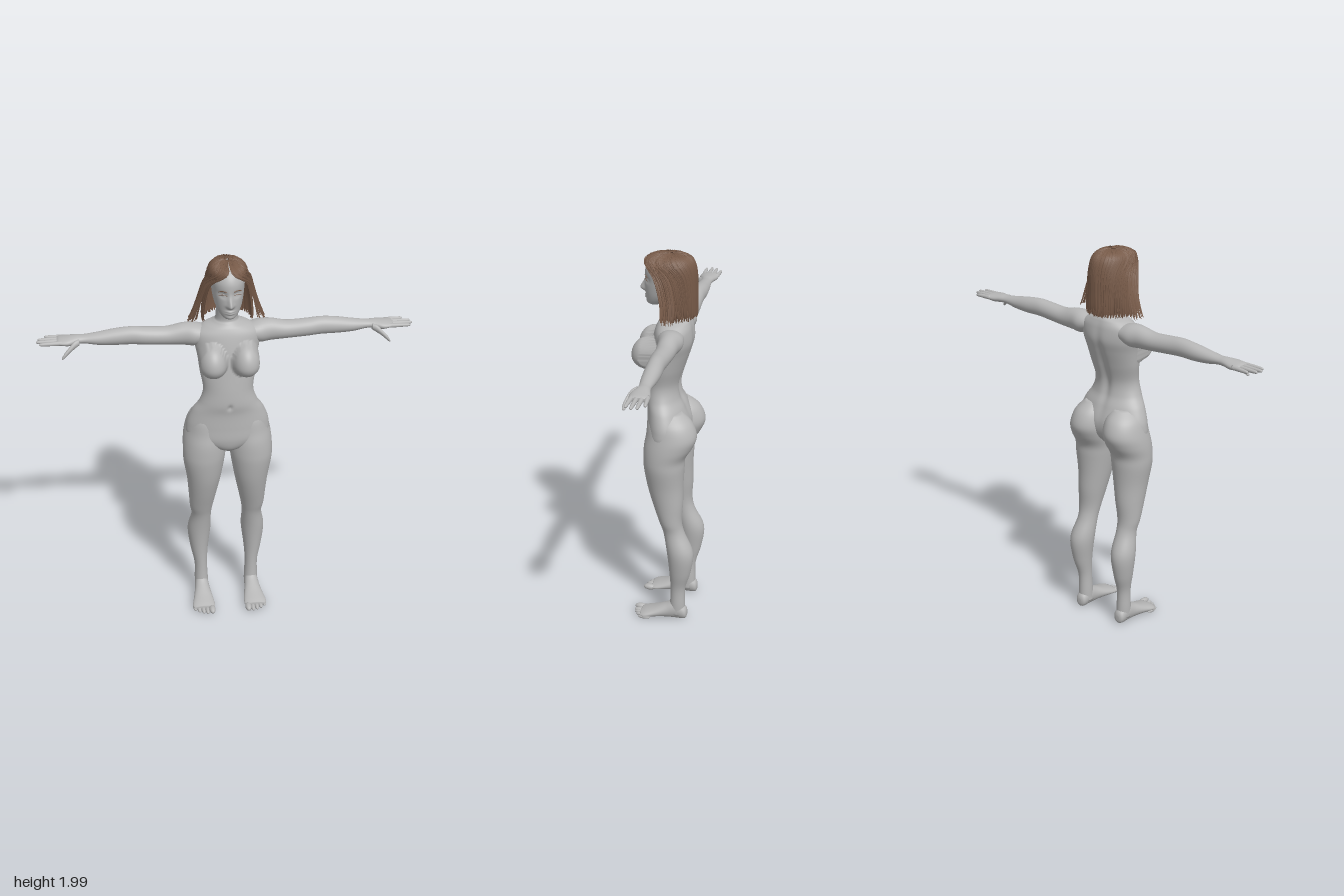
import * as THREE from 'three';
import { mergeGeometries } from 'three/addons/utils/BufferGeometryUtils.js';

const skin = new THREE.MeshStandardMaterial({ color: 0xb6b6b6 });
skin.name = 'skin grey';
const brown = new THREE.MeshStandardMaterial({ color: 0x785b49, side: THREE.DoubleSide });
brown.name = 'hair brown';

let seed = 7;
const rand = () => (seed = (seed * 16807) % 2147483647) / 2147483647;
const bell = (d, w) => Math.exp(-((d / w) ** 2));

// Smoothly interpolated row at a fractional index
function rowAt(rows, t) {
  const n = rows.length - 1, i = Math.min(Math.floor(t), n - 1), f = t - i;
  const r = (k) => rows[Math.max(0, Math.min(n, k))];
  return rows[0].map((_, c) => {
    const a = r(i - 1)[c], b = r(i)[c], d = r(i + 1)[c], e = r(i + 2)[c];
    return b + 0.5 * f * (d - a + f * (2 * a - 5 * b + 4 * d - e + f * (3 * (b - d) + e - a)));
  });
}

function build(pos, idx) {
  const g = new THREE.BufferGeometry();
  g.setAttribute('position', new THREE.Float32BufferAttribute(pos, 3));
  g.setIndex(idx);
  g.computeVertexNormals();
  return g;
}

// Closed oval loft; each row is [place on axis, min u, max u, min v, max v]
function loft(rows, axis, { side = 1, segs = 32, steps = 5, deform } = {}) {
  const pos = [], idx = [], rings = (rows.length - 1) * steps;
  const put = (m, u, v) => {
    const p = axis === 'y' ? new THREE.Vector3(u, m, v)
      : axis === 'x' ? new THREE.Vector3(m, u, v) : new THREE.Vector3(u, v, m);
    if (deform) deform(p);
    pos.push(p.x * side, p.y, p.z);
  };
  for (let j = 0; j <= rings; j++) {
    const [m, u0, u1, v0, v1] = rowAt(rows, j / steps);
    for (let i = 0; i < segs; i++) {
      const a = (i / segs) * Math.PI * 2;
      put(m, (u0 + u1) / 2 + ((u1 - u0) / 2) * Math.sin(a), (v0 + v1) / 2 + ((v1 - v0) / 2) * Math.cos(a));
    }
  }
  for (const r of [rows[0], rows[rows.length - 1]]) put(r[0], (r[1] + r[2]) / 2, (r[3] + r[4]) / 2);
  const end = (rings + 1) * segs, last = rings * segs;
  for (let i = 0; i < segs; i++) {
    const k = (i + 1) % segs;
    for (let j = 0; j < rings; j++) {
      const a = j * segs + i, b = j * segs + k;
      idx.push(a, b, a + segs, b, b + segs, a + segs);
    }
    idx.push(end, k, i, end + 1, last + i, last + k);
  }
  // Turn the faces outward if the enclosed volume is negative
  const A = new THREE.Vector3(), B = new THREE.Vector3(), C = new THREE.Vector3();
  let vol = 0;
  for (let i = 0; i < idx.length; i += 3) {
    A.fromArray(pos, idx[i] * 3); B.fromArray(pos, idx[i + 1] * 3); C.fromArray(pos, idx[i + 2] * 3);
    vol += A.dot(B.cross(C));
  }
  if (vol < 0) idx.reverse();
  return build(pos, idx);
}

const sym = (rows) => rows.map(([y, x, b, f]) => [y, -x, x, b, f]);

const torsoRows = sym([[1.8, .055, -.085, .04], [1.7, .055, -.095, .02], [1.675, .07, -.105, .03],
  [1.655, .12, -.115, .045], [1.62, .165, -.125, .06], [1.56, .162, -.13, .075], [1.5, .15, -.115, .085],
  [1.42, .14, -.09, .095], [1.33, .126, -.065, .105], [1.26, .145, -.07, .108], [1.2, .182, -.095, .1],
  [1.12, .21, -.12, .1], [1.05, .2, -.11, .1], [1, .1, -.07, .085], [.97, .03, -.03, .05]]);
const legRows = [[1.2, .04, .15, -.09, .06], [1.15, .015, .195, -.145, .08], [1.08, .004, .218, -.17, .088],
  [1.02, .004, .228, -.15, .098], [.96, .01, .23, -.115, .1], [.9, .018, .228, -.11, .097],
  [.8, .035, .212, -.105, .08], [.7, .055, .203, -.105, .052], [.6, .075, .196, -.1, .018],
  [.53, .083, .187, -.115, -.005], [.42, .083, .205, -.163, -.025], [.3, .097, .192, -.15, -.038],
  [.2, .104, .172, -.122, -.043], [.1, .1, .172, -.12, -.04], [.04, .1, .17, -.122, -.03]];
const footRows = [[-.132, .125, .148, .03, .06], [-.12, .106, .166, .012, .085], [-.07, .1, .172, .01, .12],
  [-.02, .095, .178, .012, .095], [.04, .085, .19, .012, .068], [.09, .08, .2, .01, .05], [.115, .085, .19, .015, .04]];
const armRows = [[.1, 1.57, 1.645, -.1, .02], [.16, 1.545, 1.66, -.11, .02], [.22, 1.548, 1.66, -.1, .005],
  [.3, 1.553, 1.645, -.095, 0], [.4, 1.56, 1.65, -.09, 0], [.47, 1.565, 1.655, -.088, -.005],
  [.55, 1.565, 1.648, -.09, -.008], [.63, 1.57, 1.635, -.085, -.012], [.7, 1.582, 1.625, -.08, -.02],
  [.74, 1.582, 1.625, -.085, -.015], [.78, 1.578, 1.622, -.095, 0], [.82, 1.585, 1.617, -.1, -.003],
  [.835, 1.59, 1.61, -.095, -.01]];
const thumbRows = [[.725, 1.585, 1.615, -.035, -.005], [.75, 1.572, 1.61, -.025, .01], [.775, 1.558, 1.588, -.003, .022],
  [.797, 1.54, 1.566, .008, .03], [.81, 1.531, 1.546, .015, .031], [.814, 1.532, 1.538, .02, .027]];
const headRows = sym([[1.733, .015, .06, .088], [1.74, .03, .03, .1], [1.755, .045, 0, .107], [1.785, .062, -.05, .11],
  [1.82, .073, -.1, .114], [1.87, .08, -.12, .114], [1.92, .083, -.125, .112], [1.96, .07, -.11, .09],
  [1.985, .04, -.07, .05], [1.99, .01, -.02, 0]]);

// Chest, spine groove and navel
function shapeTorso(p) {
  if (p.z > .01) {
    const dy = p.y - 1.49, d2 = ((Math.abs(p.x) - .082) / .07) ** 2 + (dy / (dy > 0 ? .1 : .07)) ** 2;
    if (d2 < 1) {
      const h = .075 + .092 * Math.sqrt(1 - d2);
      p.z = (p.z + h + Math.sqrt((p.z - h) ** 2 + .0002)) / 2;
    }
    p.z -= .01 * bell(p.x, .01) * bell(p.y - 1.25, .014);
  } else p.z += .014 * bell(p.x, .025) * bell(p.y - 1.38, .2);
}

// Nose, eye sockets, lips and chin
function shapeFace(p) {
  if (p.z < .03) return;
  const x = Math.abs(p.x), up = p.y - 1.812;
  p.z += .027 * bell(x, .011 + .004 * bell(up, .015)) * bell(up, up > 0 ? .036 : .012);
  p.z -= .012 * bell(x - .034, .018) * bell(p.y - 1.866, .014);
  p.z += .007 * bell(x - .034, .01) * bell(p.y - 1.864, .006);
  p.z += .008 * bell(x, .02) * (bell(p.y - 1.781, .005) + bell(p.y - 1.77, .005));
  p.z += .004 * bell(x, .02) * bell(p.y - 1.745, .01);
}

// Hair surface: angle is measured from the back of the head, t runs from crown to tips
const hairRows = [[2, .006, -.025, -.01], [1.993, .045, -.075, .05], [1.965, .082, -.118, .106], [1.9, .1, -.135, .112],
  [1.8, .112, -.138, .105], [1.72, .118, -.138, .1], [1.68, .115, -.135, .095]];
const spanRows = [[3.14], [3.1], [2.95], [2.15], [1.85], [1.78], [1.75]];
function hairPoint(u, t, lift = 0, flare = 0) {
  const [y, rx, b, f] = rowAt(hairRows, t * 6), a = u * rowAt(spanRows, t * 6)[0];
  const out = flare * Math.max(0, t - .4) ** 1.3;
  return [(rx + lift) * Math.sin(a) + Math.sign(u) * out, y + lift * .4, (b + f) / 2 - ((f - b) / 2 + lift) * Math.cos(a)];
}
function sheet(cols, rows, point) {
  const pos = [], idx = [];
  for (let j = 0; j <= rows; j++) for (let i = 0; i <= cols; i++) pos.push(...point(i / cols, j / rows));
  for (let j = 0; j < rows; j++) for (let i = 0; i < cols; i++) {
    const a = j * (cols + 1) + i, b = a + cols + 1;
    idx.push(a, b, a + 1, a + 1, b, b + 1);
  }
  return build(pos, idx);
}
function strand(u, t0, t1, width, lift, flare) {
  const drift = (rand() - .5) * .03;
  return sheet(2, 14, (c, v) => {
    const w = width * Math.min(1, v * 6 + .3) * (1 - v ** 3 * .85);
    return hairPoint(u + drift * v + (c - .5) * w, t0 + (t1 - t0) * v, lift + (c === .5 ? .004 : 0), flare);
  });
}

export function createModel() {
  const model = new THREE.Group();
  const add = (name, geometry, material = skin, parent = model) => {
    const mesh = new THREE.Mesh(geometry, material);
    mesh.name = name;
    parent.add(mesh);
    return mesh;
  };

  add('torso', loft(torsoRows, 'y', { segs: 112, steps: 9, deform: shapeTorso }));
  add('head', loft(headRows, 'y', { segs: 128, steps: 10, deform: shapeFace }));

  for (const side of [1, -1]) {
    const word = side > 0 ? 'left' : 'right';
    add(word + 'Leg', loft(legRows, 'y', { side, segs: 40 }));
    add(word + 'Foot', loft(footRows, 'z', { side }));
    // Toes, from the big one outward
    for (let i = 0; i < 5; i++) {
      const r = i ? .0115 : .017;
      const toe = add(word + 'Toe', new THREE.SphereGeometry(1, 14, 10));
      toe.scale.set(r, r * .95, .034);
      toe.position.set(side * (i ? .102 + i * .0215 : .098), r + .009, .127 - i * i * .0023);
    }
    add(word + 'Arm', loft(armRows, 'x', { side }));
    add(word + 'Thumb', loft(thumbRows, 'x', { side, segs: 14 }));
    // Fingers, from index to little
    [[-.016, -.012, .92], [-.04, -.04, .935], [-.063, -.067, .928], [-.086, -.096, .895]].forEach(([z0, z1, tip]) => {
      const rows = [0, .3, .6, .88, .97, 1].map((f, i) => {
        const r = [.012, .011, .0098, .008, .0055, .001][i], z = z0 + (z1 - z0) * f;
        return [.8 + (tip - .8) * f, 1.601 - r, 1.601 + r, z - r, z + r];
      });
      add(word + 'Finger', loft(rows, 'x', { side, segs: 14, steps: 3 }));
    });
    // Eyebrow and lashes
    for (const [name, y, r] of [['Eyebrow', 1.886, .0022], ['Lashes', 1.868, .0014]]) {
      const pts = [[.016, -.002, .113], [.034, .003, .107], [.054, -.004, .092]];
      const path = new THREE.CatmullRomCurve3(pts.map(([x, dy, z]) => new THREE.Vector3(x * side, y + dy, z)));
      add(word + name, new THREE.TubeGeometry(path, 12, r, 6), brown);
    }
  }

  // Hair: an undercap, strands over it and flared locks at the sides
  const hair = new THREE.Group();
  hair.name = 'hair';
  model.add(hair);
  add('hairCap', sheet(120, 24, (c, v) =>
    hairPoint(c * 2 - 1, v * (.93 + .05 * Math.sin(c * 190)), .002 * Math.sin(c * 260))), brown, hair);
  const over = [], locks = [];
  for (let i = 0; i < 150; i++) {
    const u = -1 + (i + rand()) / 75;
    over.push(strand(u, .02 + rand() * .2, .86 + rand() * .16, .025 + rand() * .015, .002 + rand() * .005, 0));
  }
  for (const side of [1, -1]) for (let i = 0; i < 26; i++) {
    locks.push(strand(side * (.7 + rand() * .29), .3 + rand() * .15, .88 + rand() * .12, .035, .002 + rand() * .008, .06 + rand() * .09));
  }
  add('hairStrands', mergeGeometries(over), brown, hair);
  add('sideLocks', mergeGeometries(locks), brown, hair);

  return model;
}
